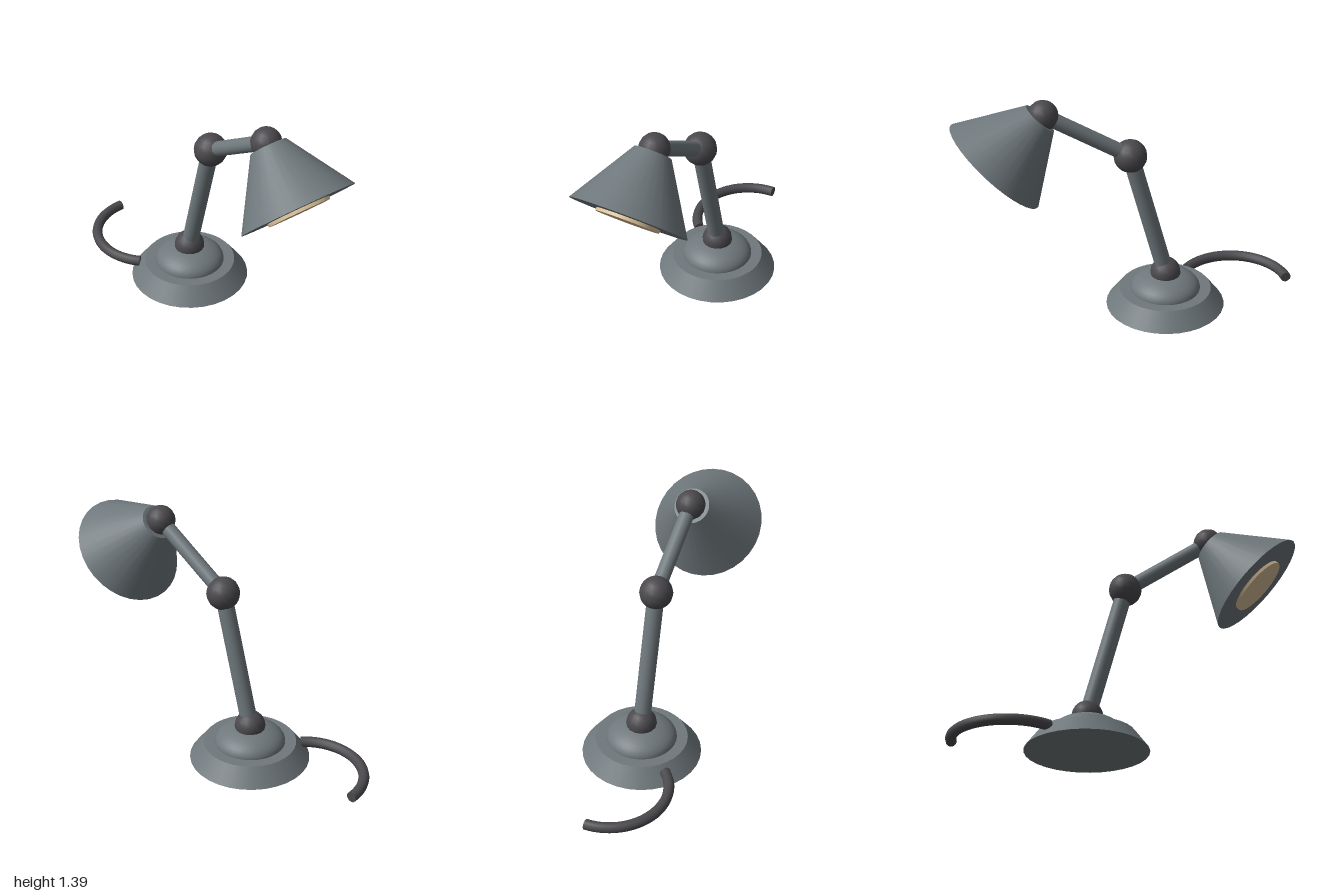
import * as THREE from 'three';

const mat = (name, color) => {
  const m = new THREE.MeshStandardMaterial({ color });
  m.name = name;
  return m;
};

export function createModel() {
  const paint = mat('grey paint', 0x6f787c);
  const dark = mat('dark joint', 0x4b494d);
  const glow = mat('warm bulb', 0xd8bf98);

  const lamp = new THREE.Group();
  lamp.name = 'deskLamp';
  const up = new THREE.Vector3(0, 1, 0);
  const at = (y, z) => new THREE.Vector3(0.003, y, z);

  const add = (name, geometry, material, position) => {
    const mesh = new THREE.Mesh(geometry, material);
    mesh.name = name;
    if (position) mesh.position.copy(position);
    lamp.add(mesh);
    return mesh;
  };

  // Closed, optionally tapered, cylinder running from point a to point b
  const rod = (name, a, b, ra, rb, sides, material) => {
    const dir = b.clone().sub(a);
    const mesh = add(name, new THREE.CylinderGeometry(rb, ra, dir.length(), sides), material,
      a.clone().add(b).multiplyScalar(0.5));
    mesh.quaternion.setFromUnitVectors(up, dir.normalize());
    return mesh;
  };

  // Joint centres
  const foot = at(0.21, -0.213);
  const elbow = at(1.0, 0);
  const neck = at(1.3, 0.49);

  // Base: bevelled disc with a flattened dome
  rod('base', at(0, -0.213), at(0.105, -0.213), 0.352, 0.272, 32, paint);
  const dome = new THREE.SphereGeometry(0.208, 32, 10, 0, Math.PI * 2, 0, Math.PI / 2);
  dome.scale(1, 0.5, 1);
  add('baseDome', dome, paint, at(0.103, -0.213));

  // Arms and ball joints
  rod('lowerArm', foot, elbow, 0.049, 0.049, 16, paint);
  rod('upperArm', elbow, neck, 0.043, 0.043, 16, paint);
  for (const [name, p, r] of [['footJoint', foot, 0.09], ['elbowJoint', elbow, 0.096], ['neckJoint', neck, 0.086]]) {
    add(name, new THREE.SphereGeometry(r, 16, 10), dark, p);
  }

  // Shade tilted 45 degrees down and forward, with the bulb disc at its mouth
  const axis = new THREE.Vector3(0, -Math.SQRT1_2, Math.SQRT1_2);
  const top = at(1.283, 0.506);
  const mouth = top.clone().addScaledVector(axis, 0.369);
  rod('shade', top, mouth, 0.104, 0.33, 32, paint);
  rod('bulb', mouth.clone().addScaledVector(axis, -0.01), mouth.clone().addScaledVector(axis, 0.018),
    0.177, 0.177, 32, glow);

  // Cord: three eighths of a circle leaving the back of the base
  const arc = Math.PI * 0.75, ring = 0.33, thick = 0.031;
  const cord = new THREE.Group();
  cord.name = 'cord';
  cord.position.copy(at(0.068, -0.64));
  cord.rotation.x = -Math.PI / 2; // local +y becomes -z
  const cable = new THREE.Mesh(new THREE.TorusGeometry(ring, thick, 12, 28, arc), dark);
  cable.name = 'cordCable';
  cable.rotation.z = Math.PI / 2;
  cord.add(cable);
  for (const [angle, turn] of [[0, Math.PI / 2], [arc, -Math.PI / 2]]) {
    const end = new THREE.Mesh(new THREE.CircleGeometry(thick, 12), dark);
    end.name = 'cordEnd';
    const a = angle + Math.PI / 2;
    end.position.set(Math.cos(a) * ring, Math.sin(a) * ring, 0);
    end.rotation.set(turn, 0, a, 'ZXY');
    cord.add(end);
  }
  lamp.add(cord);
  return lamp;
}
